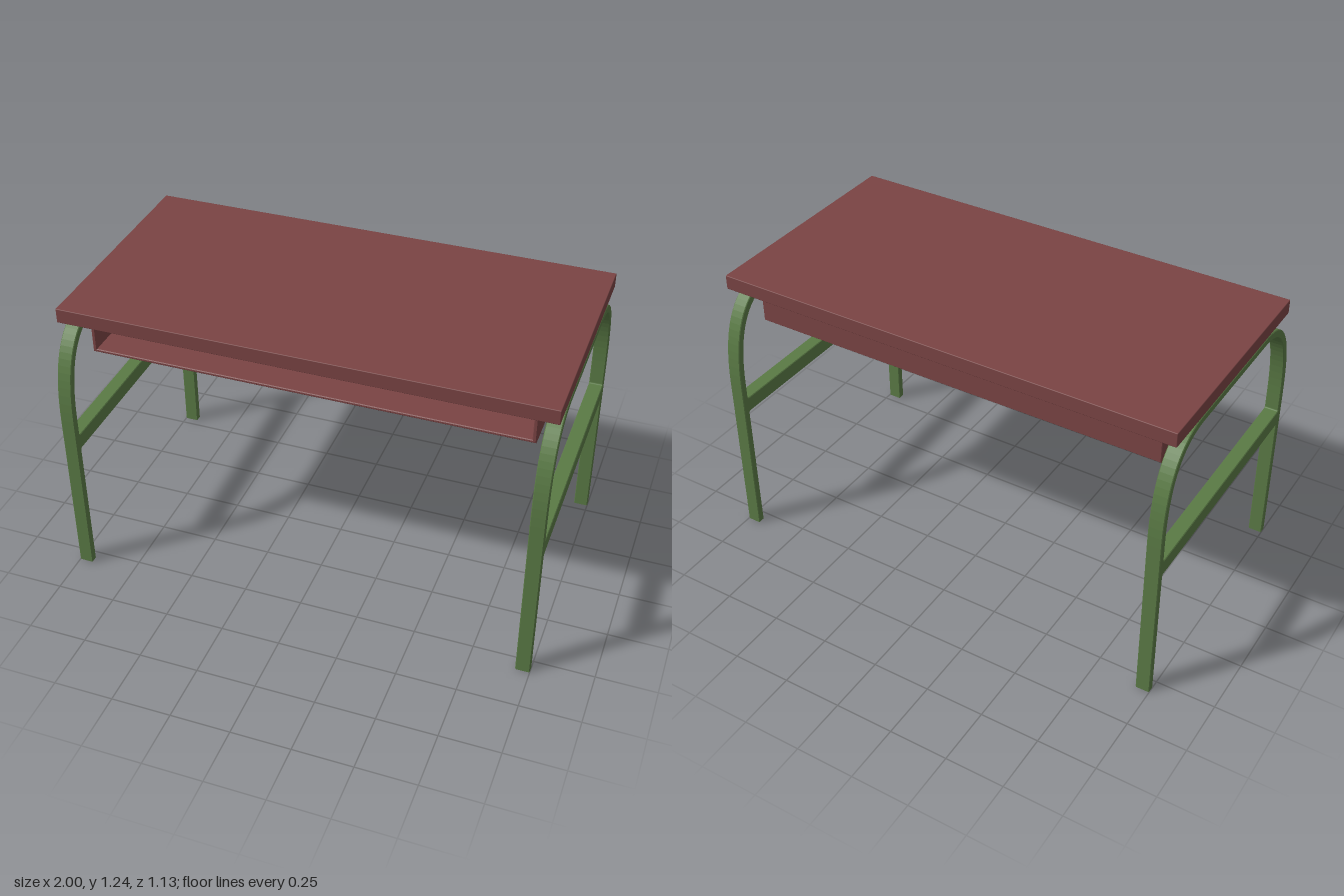
import * as THREE from 'three';
import { RoundedBoxGeometry } from 'three/addons/geometries/RoundedBoxGeometry.js';

const wood = new THREE.MeshStandardMaterial({ color: 0x7a4444 });
const metal = new THREE.MeshStandardMaterial({ color: 0x5a7a45 });
const BEVEL = 0.003;

function part(name, geometry, material, x = 0, y = 0, z = 0) {
  const mesh = new THREE.Mesh(geometry, material);
  mesh.name = name;
  mesh.position.set(x, y, z);
  return mesh;
}

// Extrusion centred on its depth, with finely bevelled edges that keep the outline's size
function extrude(shape, depth) {
  const geometry = new THREE.ExtrudeGeometry(shape, {
    depth: depth - 2 * BEVEL, curveSegments: 20,
    bevelThickness: BEVEL, bevelSize: BEVEL, bevelOffset: -BEVEL, bevelSegments: 1,
  });
  return geometry.translate(0, 0, BEVEL - depth / 2);
}

// Arch over the desk side: from (w, shoulder) up, across the flat top and down to (-w, shoulder)
function arch(path, w, top, flat, shoulder) {
  const rise = shoulder + (top - shoulder) * 0.68;
  const run = flat + (w - flat) * 0.7;
  path.bezierCurveTo(w, rise, run, top, flat, top);
  path.lineTo(-flat, top);
  path.bezierCurveTo(-run, top, -w, rise, -w, shoulder);
}

// Side frame: two legs, bent top and crossbar as one profile
function sideFrameGeometry() {
  const outer = 0.565, inner = 0.535, barLow = 0.6, barHigh = 0.668, r = 0.008;
  const shape = new THREE.Shape();
  shape.moveTo(outer, 0);
  shape.lineTo(outer, 0.75);
  arch(shape, outer, 1.174, 0.27, 0.75);
  shape.lineTo(-outer, 0);
  shape.lineTo(-inner, 0);
  shape.lineTo(-inner, barLow - r);
  shape.quadraticCurveTo(-inner, barLow, -inner + r, barLow);
  shape.lineTo(inner - r, barLow);
  shape.quadraticCurveTo(inner, barLow, inner, barLow - r);
  shape.lineTo(inner, 0);
  shape.closePath();

  const gap = new THREE.Path();
  gap.moveTo(inner, barHigh + r);
  gap.lineTo(inner, 0.75);
  arch(gap, inner, 1.142, 0.27, 0.75);
  gap.lineTo(-inner, barHigh + r);
  gap.quadraticCurveTo(-inner, barHigh, -inner + r, barHigh);
  gap.lineTo(inner - r, barHigh);
  gap.quadraticCurveTo(inner, barHigh, inner, barHigh + r);
  shape.holes.push(gap);
  return extrude(shape, 0.06).rotateY(Math.PI / 2);
}

function rectangle(path, w, y0, y1) {
  path.moveTo(-w, y0);
  path.lineTo(w, y0);
  path.lineTo(w, y1);
  path.lineTo(-w, y1);
  path.closePath();
  return path;
}

export function createModel() {
  const desk = new THREE.Group();
  desk.name = 'desk';

  desk.add(part('tabletop', new RoundedBoxGeometry(2, 0.062, 1.004, 1, 0.003), wood, 0, 1.206, -0.007));

  // Storage tray: hollow sleeve, open at the front and closed at the back
  const tray = new THREE.Group();
  tray.name = 'tray';
  const sleeve = rectangle(new THREE.Shape(), 0.906, 1.005, 1.176);
  sleeve.holes.push(rectangle(new THREE.Path(), 0.89, 1.018, 1.16));
  tray.add(part('traySleeve', extrude(sleeve, 0.82), wood, 0, 0, -0.005));
  tray.add(part('trayBack', new THREE.BoxGeometry(1.79, 0.152, 0.015), wood, 0, 1.089, -0.4075));
  desk.add(tray);

  // Matching bent frames carrying the two ends
  const frame = sideFrameGeometry();
  for (const [name, side] of [['leftFrame', 1], ['rightFrame', -1]]) {
    desk.add(part(name, frame, metal, side * 0.97, 0, 0));
  }
  return desk;
}
